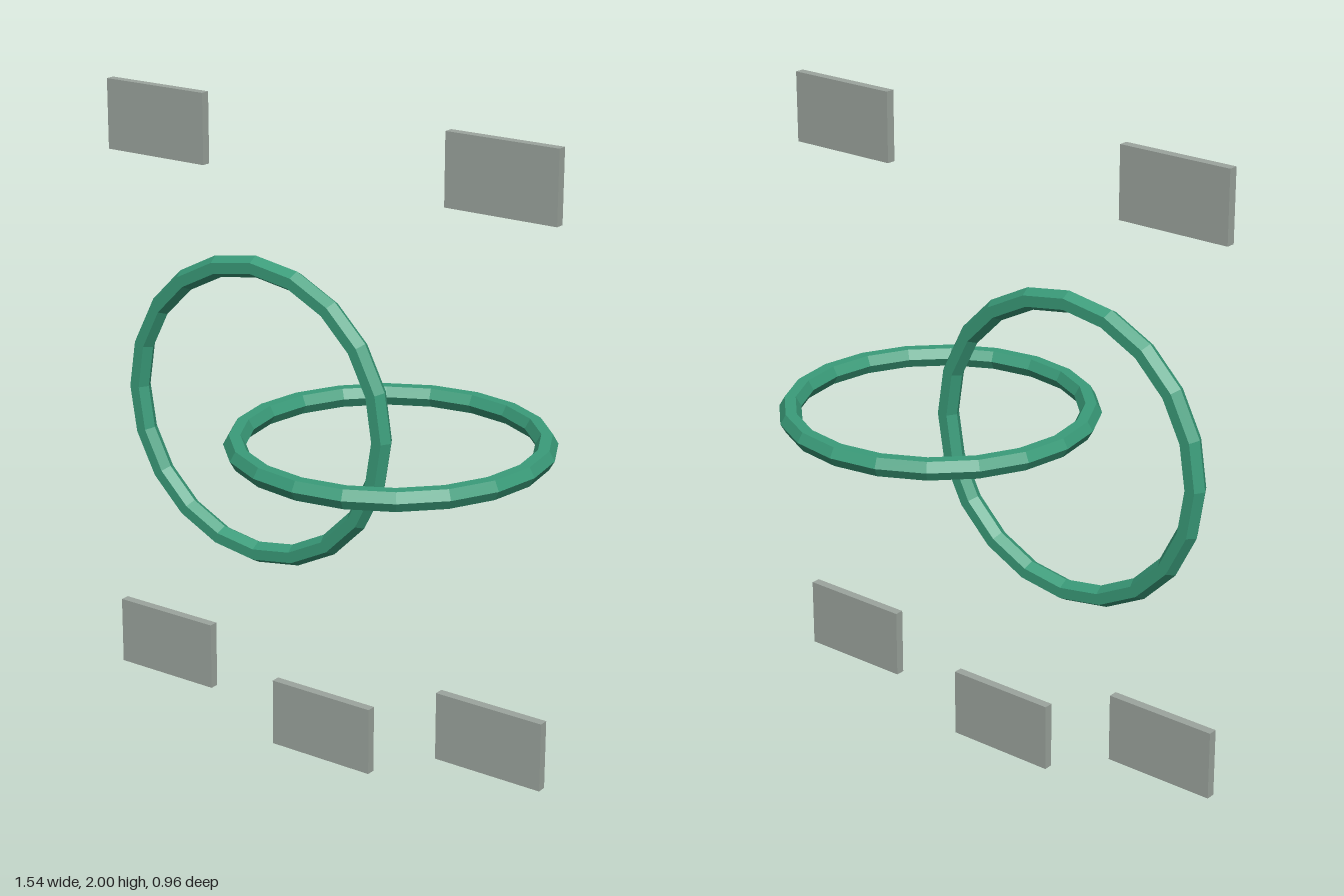
import * as THREE from 'three';

export function createModel() {
  const group = new THREE.Group();
  const green = new THREE.MeshStandardMaterial({ color: 0x3a9c7a, flatShading: true });
  green.name = 'ring green';
  const grey = new THREE.MeshStandardMaterial({ color: 0x9ca59e });
  grey.name = 'plate grey';

  // Two interlocked low-poly rings, one upright and one lying flat
  const ringGeometry = new THREE.TorusGeometry(0.446, 0.033, 6, 20);
  const addRing = (name, x, tilt) => {
    const ring = new THREE.Mesh(ringGeometry, green);
    ring.name = name;
    ring.position.set(x, 1.064, 0);
    ring.rotation.x = tilt;
    group.add(ring);
  };
  addRing('uprightRing', -0.239, 0);
  addRing('flatRing', 0.239, Math.PI / 2);

  // Five thin plates: four at the corners, one at the bottom centre
  const plateGeometry = new THREE.BoxGeometry(0.356, 0.212, 0.028);
  const addPlate = (name, x, y) => {
    const plate = new THREE.Mesh(plateGeometry, grey);
    plate.name = name;
    plate.position.set(x, y, 0);
    group.add(plate);
  };
  for (const [side, x] of [['Left', 0.594], ['Right', -0.594]]) {
    addPlate('upperPlate' + side, x, 1.894);
    addPlate('lowerPlate' + side, x, 0.228);
  }
  addPlate('bottomPlate', 0, 0.106);

  return group;
}
